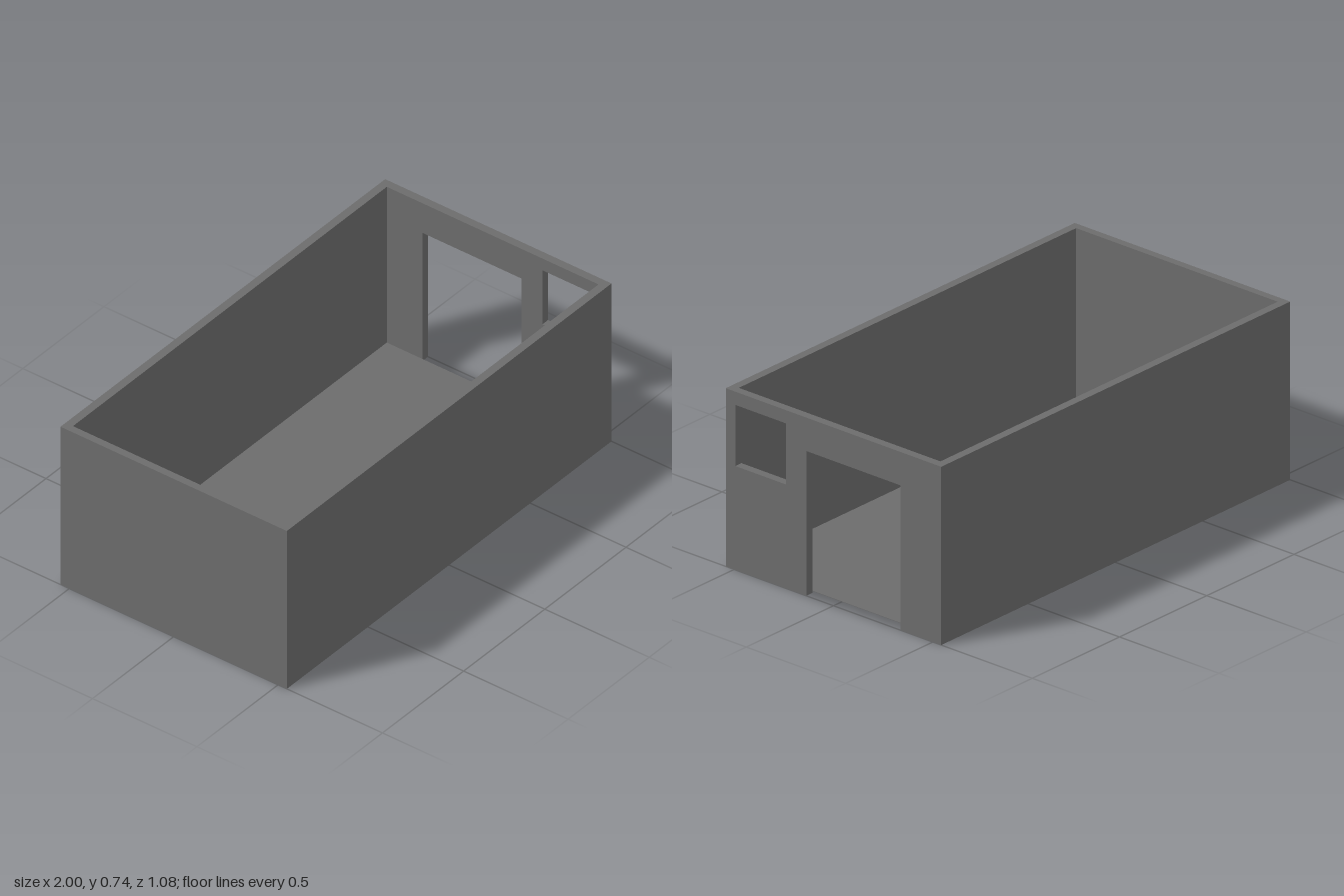
import * as THREE from 'three';

const COLOR = 0x6c6c6c;
const material = new THREE.MeshStandardMaterial({ color: COLOR, flatShading: true });
const thinMaterial = new THREE.MeshStandardMaterial({ color: COLOR, flatShading: true, side: THREE.DoubleSide });

const HEIGHT = 0.741, HALF_X = 1, HALF_Z = 0.542, WALL = 0.035, FLOOR = 0.01;
const DOOR = [-0.137, 0.337];

function addMesh(parent, name, geometry, mat = material) {
  const mesh = new THREE.Mesh(geometry, mat);
  mesh.name = name;
  parent.add(mesh);
  return mesh;
}

function polygon(points) {
  return new THREE.Shape(points.map(([x, y]) => new THREE.Vector2(x, y)));
}

// A closed carton standing on height y
function addCarton(parent, name, [x, y, z, w, h, d, turn]) {
  const carton = addMesh(parent, name, new THREE.BoxGeometry(w, h, d));
  carton.position.set(x, y + h / 2, z);
  carton.rotation.y = turn;
}

// A carton without a lid: two flaps raised, two folded flat outward
function createOpenCarton(w, h, d) {
  const carton = new THREE.Group();
  carton.name = 'openCarton';
  const base = addMesh(carton, 'cartonBase', new THREE.BoxGeometry(w, 0.003, d));
  base.position.y = 0.0015;
  for (let i = 0; i < 4; i++) {
    const across = i % 2 ? d : w, out = i % 2 ? w : d;
    const side = new THREE.Group();
    side.name = 'cartonSide';
    side.rotation.y = i * Math.PI / 2;
    const panel = addMesh(side, 'sidePanel', new THREE.PlaneGeometry(across, h), thinMaterial);
    panel.position.set(0, h / 2, out / 2);
    const flapGeometry = new THREE.PlaneGeometry(across, i % 2 ? 0.018 : 0.033).translate(0, i % 2 ? 0.009 : 0.0165, 0);
    const flap = addMesh(side, 'flap', flapGeometry, thinMaterial);
    flap.position.set(0, h, out / 2);
    flap.rotation.x = i % 2 ? 1.55 : 1.0;
    carton.add(side);
  }
  return carton;
}

export function createModel() {
  const model = new THREE.Group();
  model.name = 'storageRoom';

  // Front, back and left walls: one U-shaped plan extruded upward
  const innerX = HALF_X - WALL, innerZ = HALF_Z - WALL;
  const plan = polygon([
    [innerX, -HALF_Z], [innerX, -innerZ], [-0.968, -innerZ], [-0.968, innerZ],
    [innerX, innerZ], [innerX, HALF_Z], [-HALF_X, HALF_Z], [-HALF_X, -HALF_Z],
  ]);
  const walls = new THREE.ExtrudeGeometry(plan, { depth: HEIGHT, bevelEnabled: false });
  addMesh(model, 'outerWalls', walls.rotateX(-Math.PI / 2));

  // Entrance wall: doorway cut to the ground, and a square window
  const elevation = polygon([
    [-HALF_Z, 0], [DOOR[0], 0], [DOOR[0], 0.602], [DOOR[1], 0.602],
    [DOOR[1], 0], [HALF_Z, 0], [HALF_Z, HEIGHT], [-HALF_Z, HEIGHT],
  ]);
  elevation.holes.push(polygon([[-0.494, 0.432], [-0.494, 0.686], [-0.238, 0.686], [-0.238, 0.432]]));
  const entrance = new THREE.ExtrudeGeometry(elevation, { depth: WALL, bevelEnabled: false });
  addMesh(model, 'entranceWall', entrance.rotateY(Math.PI / 2)).position.x = innerX;

  // Underside of the doorway, facing down only
  const doorWidth = DOOR[1] - DOOR[0];
  const threshold = addMesh(model, 'thresholdUnderside', new THREE.PlaneGeometry(WALL, doorWidth).rotateX(Math.PI / 2));
  threshold.position.set(HALF_X - WALL / 2, 0, -(DOOR[0] + DOOR[1]) / 2);

  // Thin floor slab raised slightly inside the walls
  const floor = addMesh(model, 'floor', new THREE.BoxGeometry(1.933, 0.002, innerZ * 2));
  floor.position.set(-0.0015, FLOOR - 0.001, 0);

  // Pile of cartons: x, y, z, width, height, depth, turn
  const pile = new THREE.Group();
  pile.name = 'cartonPile';
  model.add(pile);
  const cartons = [
    [-0.668, FLOOR, -0.25, 0.187, 0.095, 0.143, 0.22],
    [-0.607, FLOOR, 0.276, 0.192, 0.095, 0.145, 0.02],
    [-0.88, FLOOR, 0, 0.14, 0.095, 0.19, 0],
    [-0.82, FLOOR, -0.165, 0.1, 0.095, 0.1, -0.45],
    [-0.815, 0.105, -0.15, 0.1, 0.078, 0.107, 0.3],
    [-0.82, FLOOR, 0.155, 0.085, 0.105, 0.075, 0.5],
    [-0.765, FLOOR, 0.23, 0.08, 0.08, 0.07, 0.7],
  ];
  cartons.forEach((spec) => addCarton(pile, 'carton', spec));
  const smallCartons = [
    [-0.742, FLOOR, -0.068, 0.062, 0.083, 0.042, 0.7],
    [-0.675, FLOOR, -0.092, 0.036, 0.083, 0.06, 0.5],
    [-0.77, FLOOR, 0.046, 0.056, 0.074, 0.08, 0],
    [-0.717, FLOOR, 0.003, 0.02, 0.008, 0.05, -0.6],
    [-0.608, FLOOR, 0.155, 0.018, 0.006, 0.026, 0],
  ];
  smallCartons.forEach((spec) => addCarton(pile, 'smallCarton', spec));

  const openCarton = createOpenCarton(0.075, 0.055, 0.09);
  openCarton.position.set(-0.855, 0.105, 0.048);
  openCarton.rotation.y = -0.32;
  pile.add(openCarton);

  // Little cans scattered in front of the pile: x, z, height
  const cans = [[-0.732, 0.135, 0.045], [-0.68, 0.148, 0.018], [-0.68, 0.175, 0.018], [-0.642, 0.146, 0.018],
    [-0.575, 0.155, 0.018], [-0.575, 0.175, 0.018], [-0.67, -0.035, 0.035]];
  for (const [x, z, h] of cans) {
    const can = addMesh(pile, 'can', new THREE.CylinderGeometry(0.008, 0.008, h, 10));
    can.position.set(x, FLOOR + h / 2, z);
  }
  return model;
}
